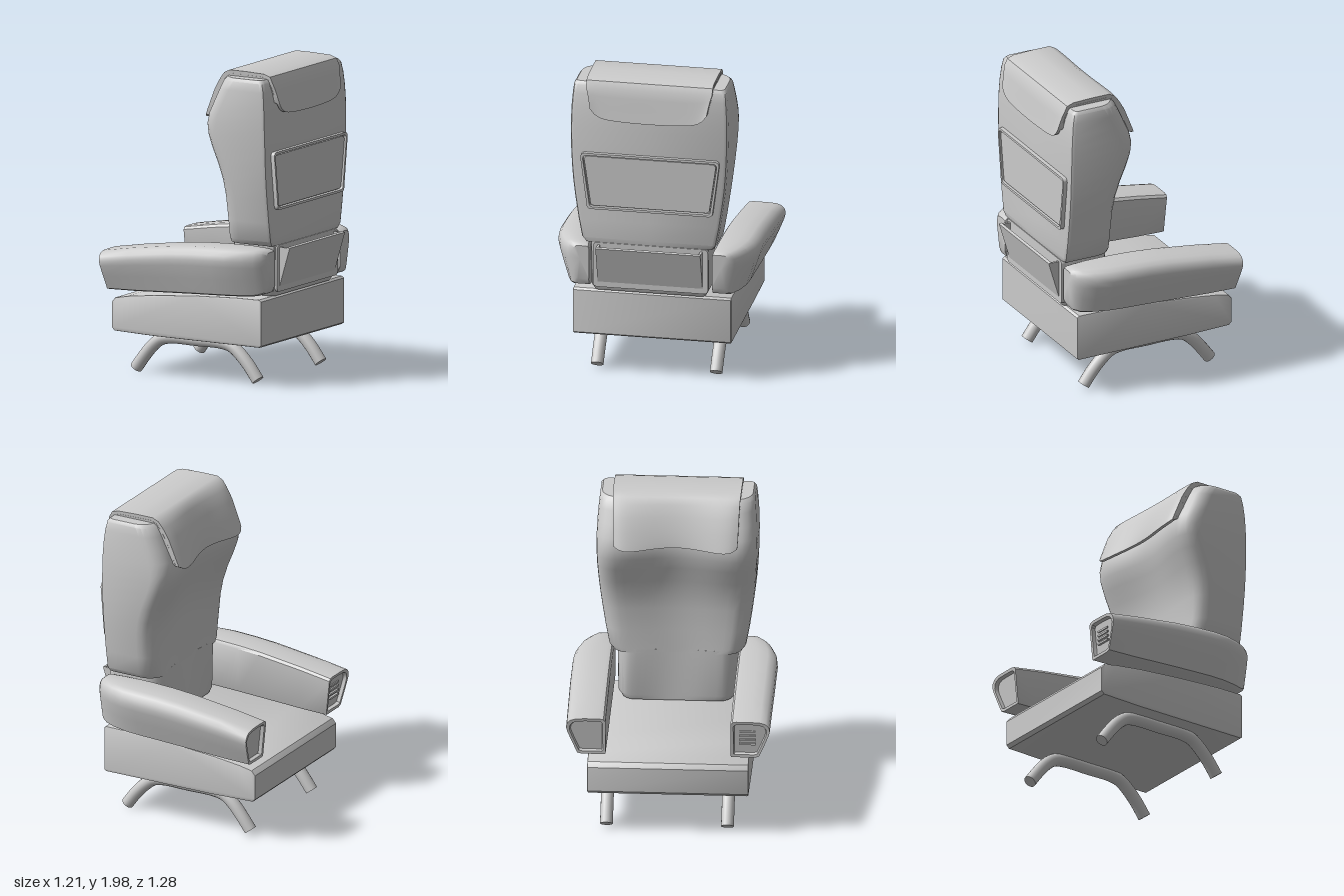
import * as THREE from 'three';
import { toCreasedNormals } from 'three/addons/utils/BufferGeometryUtils.js';

const material = new THREE.MeshStandardMaterial({ color: 0xcccccc, side: THREE.DoubleSide });
const V = (x, y, z) => new THREE.Vector3(x, y, z);

function part(name, geometry, crease = 0.6) {
  const mesh = new THREE.Mesh(toCreasedNormals(geometry, crease), material);
  mesh.name = name;
  return mesh;
}

// Joins closed rings of equal length and caps both ends; faces are turned outward.
function loft(rings) {
  const n = rings[0].length, pts = rings.flat(), index = [];
  for (let r = 0; r < rings.length - 1; r++) {
    for (let i = 0; i < n; i++) {
      const a = r * n + i, b = r * n + (i + 1) % n;
      index.push(a, b, b + n, a, b + n, a + n);
    }
  }
  [0, rings.length - 1].forEach((r, end) => {
    const outline = rings[r];
    const c = outline.reduce((s, p) => s.add(p), V(0, 0, 0)).divideScalar(n);
    pts.push(c);
    for (let i = 0; i < n; i++) {
      const a = r * n + i, b = r * n + (i + 1) % n;
      index.push(...(end ? [a, b, pts.length - 1] : [b, a, pts.length - 1]));
    }
  });
  let volume = 0;
  for (let i = 0; i < index.length; i += 3) {
    volume += pts[index[i]].dot(V(0, 0, 0).crossVectors(pts[index[i + 1]], pts[index[i + 2]]));
  }
  if (volume < 0) index.reverse();
  return new THREE.BufferGeometry().setFromPoints(pts).setIndex(index);
}

const shapeOf = (points) => new THREE.Shape(points.map((p) => new THREE.Vector2(...p)));

// Side profile in x/y, extruded across the seat from z0 to z1.
function sideExtrude(points, z0, z1, bevel = 0) {
  return new THREE.ExtrudeGeometry(shapeOf(points), {
    depth: z1 - z0 - 2 * bevel, bevelEnabled: bevel > 0, bevelSize: bevel, bevelOffset: -bevel,
    bevelThickness: bevel, bevelSegments: 2,
  }).translate(0, 0, z0 + bevel);
}

// Rounded trapezoid in z/y, for plates on the rear of the backrest.
function plateShape(bottom, top, y0, y1, r, Type = THREE.Shape) {
  const s = new Type();
  s.moveTo(-bottom + r, y0).lineTo(bottom - r, y0);
  s.quadraticCurveTo(bottom, y0, bottom, y0 + r).lineTo(top, y1 - r);
  s.quadraticCurveTo(top, y1, top - r, y1).lineTo(-top + r, y1);
  s.quadraticCurveTo(-top, y1, -top, y1 - r).lineTo(-bottom, y0 + r);
  s.quadraticCurveTo(-bottom, y0, -bottom + r, y0);
  return s;
}
const rearExtrude = (shape, x0, x1) => new THREE.ExtrudeGeometry(shape, { depth: x1 - x0, bevelEnabled: false, curveSegments: 6 })
  .rotateY(Math.PI / 2).translate(x0, 0, 0);

// One horizontal outline of the backrest, with a dished front and rounded corners.
function backRing([y, front, rear, half, dent]) {
  const side = [];
  for (let i = 0; i <= 8; i++) {
    const t = i / 8;
    side.push([front + dent * (0.5 + 0.5 * Math.cos(Math.PI * t)), 0.76 * half * t]);
  }
  const r = Math.min(0.11, (rear - front) * 0.5);
  for (let i = 1; i <= 5; i++) {
    const a = (i / 5) * Math.PI / 2;
    side.push([front + r * (1 - Math.cos(a)), half * (0.76 + 0.24 * Math.sin(a))]);
  }
  side.push([rear - 0.025, half], [rear - 0.008, half - 0.008], [rear, half - 0.025], [rear, 0]);
  const mirrored = side.slice(1, -1).reverse().map(([x, z]) => [x, -z]);
  return [...side, ...mirrored].map(([x, z]) => V(x, y, z + 0.01));
}

// Arm cross-section at one station; the side sign mirrors it.
function armRing(sign, [x, y0, y1, outer], lean = 0) {
  const h = y1 - y0, inner = 0.39, w = outer - inner;
  const section = [[0.02, 0], [0.62, 0], [0.72, 0.03], [0.86, 0.35], [0.97, 0.62], [1, 0.74], [0.98, 0.85],
    [0.9, 0.94], [0.75, 0.99], [0.5, 1], [0.15, 1], [0.05, 0.98], [0, 0.92], [0, 0.03]];
  return section.map(([u, v]) => V(x + lean * (1 - v), y0 + v * h, sign * (inner + u * w)));
}

function armrest(sign) {
  const group = new THREE.Group();
  group.name = sign > 0 ? 'leftArmrest' : 'rightArmrest';
  const front = armRing(sign, [-0.61, 0.55, 0.8, 0.635], 0.025);
  const inset = (k, dx) => front.map((p) => V(-0.6 + (p.x + 0.6) * k + dx, 0.675 + (p.y - 0.675) * k, sign * 0.505 + (p.z - sign * 0.505) * k));
  const stations = [[-0.4, 0.555, 0.835, 0.637], [-0.1, 0.57, 0.875, 0.64], [0.05, 0.577, 0.888, 0.64],
    [0.2, 0.583, 0.895, 0.64], [0.3, 0.586, 0.896, 0.63], [0.4, 0.59, 0.895, 0.6], [0.47, 0.595, 0.89, 0.562],
    [0.51, 0.61, 0.885, 0.53], [0.53, 0.65, 0.87, 0.5]];
  group.add(part('armPad', loft([inset(0.8, 0.025), inset(0.85, 0.002), front, ...stations.map((s) => armRing(sign, s))])));
  return group;
}

// Thin cloth folded over the top of the backrest.
function headrestCover() {
  const path = [[0.0, 1.66], [0.015, 1.7], [0.045, 1.77], [0.085, 1.86], [0.13, 1.93], [0.165, 1.97], [0.21, 1.99],
    [0.33, 1.99], [0.46, 1.985], [0.505, 1.97], [0.525, 1.93], [0.535, 1.87], [0.545, 1.8], [0.558, 1.72]];
  const rings = [];
  for (let i = 0; i <= 28; i++) {
    const t = i / 14 - 1, dent = 0.5 + 0.5 * Math.cos(Math.PI * t);
    const outer = path.map(([x, y], k) => {
      const frontPull = Math.max(0, 1 - k / 6), rearPull = Math.max(0, (k - 10) / 3);
      const px = x + 0.055 * dent * frontPull + 0.03 * Math.pow(Math.abs(t), 10) * frontPull;
      const py = y + (0.02 * dent + 0.03 * Math.pow(Math.abs(t), 10)) * frontPull ** 3
        + (0.02 * t * t + 0.06 * Math.pow(Math.abs(t), 10)) * rearPull;
      return V(px, py, t * (0.4 - 0.03 * rearPull - 0.015 * frontPull) + 0.01);
    });
    const inner = outer.map((p) => {
      const d = V(0.33 - p.x, 1.76 - p.y, 0);
      if (p.y < 1.85) d.y = 0;
      return p.clone().addScaledVector(d.normalize(), 0.022);
    });
    rings.push([...outer, ...inner.reverse()]);
  }
  return part('headrestCover', loft(rings), 0.7);
}

// Bent tube leg with flat end discs.
function legTube(z) {
  const group = new THREE.Group();
  group.name = 'legFrame';
  const p = (x, y) => V(x, y, z);
  const curve = new THREE.CatmullRomCurve3([p(-0.495, 0.035), p(-0.43, 0.122), p(-0.37, 0.19), p(-0.31, 0.234), p(-0.23, 0.25),
    p(-0.05, 0.25), p(0.12, 0.25), p(0.2, 0.234), p(0.26, 0.19), p(0.325, 0.122), p(0.39, 0.035)]);
  group.add(part('legTube', new THREE.TubeGeometry(curve, 48, 0.04, 16)));
  for (const end of [0, 1]) {
    const cap = part('legEnd', new THREE.CircleGeometry(0.04, 16));
    const at = curve.getPoint(end);
    cap.position.copy(at);
    cap.lookAt(at.clone().addScaledVector(curve.getTangent(end), end ? 1 : -1));
    group.add(cap);
  }
  return group;
}

export function createModel() {
  const model = new THREE.Group();
  model.name = 'cabinSeat';

  // Seat base
  model.add(part('seatCushion', sideExtrude([[-0.595, 0.3], [-0.575, 0.28], [-0.3, 0.272], [0.48, 0.268], [0.495, 0.28],
    [0.495, 0.56], [0.48, 0.572], [0.3, 0.57], [0, 0.555], [-0.3, 0.53], [-0.48, 0.508], [-0.57, 0.49], [-0.595, 0.46]],
  -0.505, 0.5, 0.008)));

  // Backrest: height, front x, rear x, half width, front dish
  const levels = [[0.9, 0.185, 0.525, 0.405, 0.02], [0.93, 0.185, 0.53, 0.428, 0.02], [1.05, 0.185, 0.53, 0.45, 0.02],
    [1.2, 0.18, 0.53, 0.472, 0.025], [1.3, 0.165, 0.53, 0.484, 0.03], [1.4, 0.135, 0.53, 0.492, 0.04],
    [1.5, 0.095, 0.53, 0.497, 0.05], [1.58, 0.068, 0.529, 0.499, 0.055], [1.65, 0.06, 0.527, 0.5, 0.055],
    [1.72, 0.075, 0.525, 0.499, 0.05], [1.8, 0.112, 0.52, 0.496, 0.035], [1.88, 0.148, 0.512, 0.49, 0.02],
    [1.935, 0.175, 0.5, 0.484, 0.01], [1.955, 0.195, 0.485, 0.47, 0]];
  model.add(part('backrest', loft(levels.map(backRing))));
  model.add(part('backrestFoot', loft([[0.575, 0.2, 0.5, 0.35, 0], [0.61, 0.19, 0.515, 0.37, 0.01], [0.92, 0.186, 0.522, 0.375, 0.02]].map(backRing))));
  model.add(headrestCover());

  // Tray table with raised frame
  const frame = plateShape(0.4, 0.44, 1.13, 1.5, 0.03);
  frame.holes.push(plateShape(0.385, 0.425, 1.145, 1.485, 0.025, THREE.Path));
  model.add(part('trayFrame', rearExtrude(frame, 0.52, 0.556)));
  model.add(part('trayTable', rearExtrude(plateShape(0.378, 0.417, 1.152, 1.478, 0.025), 0.52, 0.546)));

  // Lower rear plate and open-topped pocket
  model.add(part('lowerRearPlate', rearExtrude(plateShape(0.365, 0.365, 0.605, 0.9, 0.03), 0.5, 0.53)));
  model.add(part('pocketFront', sideExtrude([[0.515, 0.645], [0.53, 0.64], [0.603, 0.885], [0.585, 0.89]], -0.33, 0.335)));
  for (const z of [-0.33, 0.32]) {
    model.add(part('pocketSide', sideExtrude([[0.515, 0.645], [0.595, 0.885], [0.52, 0.885]], z, z + 0.015)));
  }

  for (const sign of [-1, 1]) model.add(armrest(sign));

  // Slats in the front end of one armrest
  for (let i = 0; i < 4; i++) {
    const slat = part('ashtraySlat', new THREE.BoxGeometry(0.015, 0.012, 0.1));
    slat.position.set(-0.578, 0.64 + i * 0.028, 0.495);
    model.add(slat);
  }

  for (const z of [-0.39, 0.365]) model.add(legTube(z));
  return model;
}
